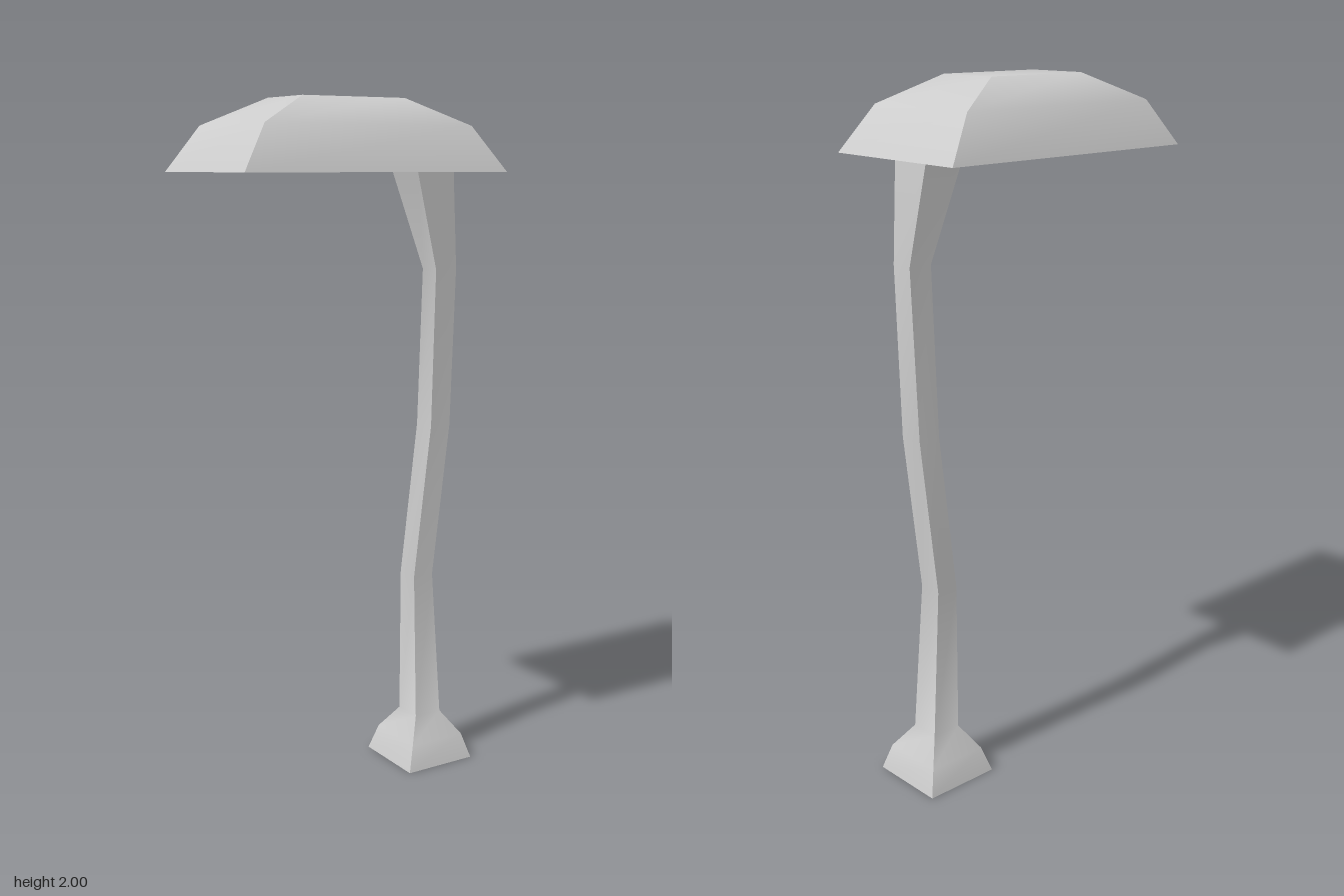
import * as THREE from 'three';
import { toCreasedNormals } from 'three/addons/utils/BufferGeometryUtils.js';

// Lofts rectangular sections [y, xMin, xMax, zMin, zMax] and closes both ends
function loft(sections) {
  const positions = [];
  const index = [];
  for (const [y, x0, x1, z0, z1] of sections) {
    positions.push(x1, y, z1, x1, y, z0, x0, y, z0, x0, y, z1);
  }
  const last = (sections.length - 1) * 4;
  for (let base = 0; base < last; base += 4) {
    for (let i = 0; i < 4; i++) {
      const a = base + i;
      const b = base + ((i + 1) % 4);
      index.push(a, b, b + 4, a, b + 4, a + 4);
    }
  }
  index.push(0, 2, 1, 0, 3, 2);
  index.push(last, last + 1, last + 2, last, last + 2, last + 3);
  const geometry = new THREE.BufferGeometry();
  geometry.setAttribute('position', new THREE.Float32BufferAttribute(positions, 3));
  geometry.setIndex(index);
  return toCreasedNormals(geometry, THREE.MathUtils.degToRad(42));
}

export function createModel() {
  const group = new THREE.Group();
  const material = new THREE.MeshStandardMaterial({ color: 0xcccccc });

  const addPart = (name, sections) => {
    const mesh = new THREE.Mesh(loft(sections), material);
    mesh.name = name;
    group.add(mesh);
  };

  // Crooked square post with a flared foot and a wider top
  addPart('post', [
    [0, 0.185, 0.415, -0.115, 0.117],
    [0.075, 0.21, 0.393, -0.095, 0.095],
    [0.145, 0.255, 0.345, -0.045, 0.045],
    [0.59, 0.255, 0.322, -0.045, 0.027],
    [1.05, 0.312, 0.38, -0.048, 0.025],
    [1.52, 0.303, 0.375, -0.015, 0.052],
    [1.8, 0.22, 0.345, -0.055, 0.073],
  ]);

  // Faceted hood: hollow ceiling, down to the opening, across the rim, up the outside
  addPart('hood', [
    [1.95, -0.16, 0.06, -0.08, 0.08],
    [1.89, -0.28, 0.14, -0.14, 0.14],
    [1.8, -0.345, 0.19, -0.175, 0.175],
    [1.8, -0.42, 0.41, -0.235, 0.235],
    [1.925, -0.335, 0.32, -0.187, 0.187],
    [2, -0.17, 0.157, -0.095, 0.095],
  ]);

  return group;
}
